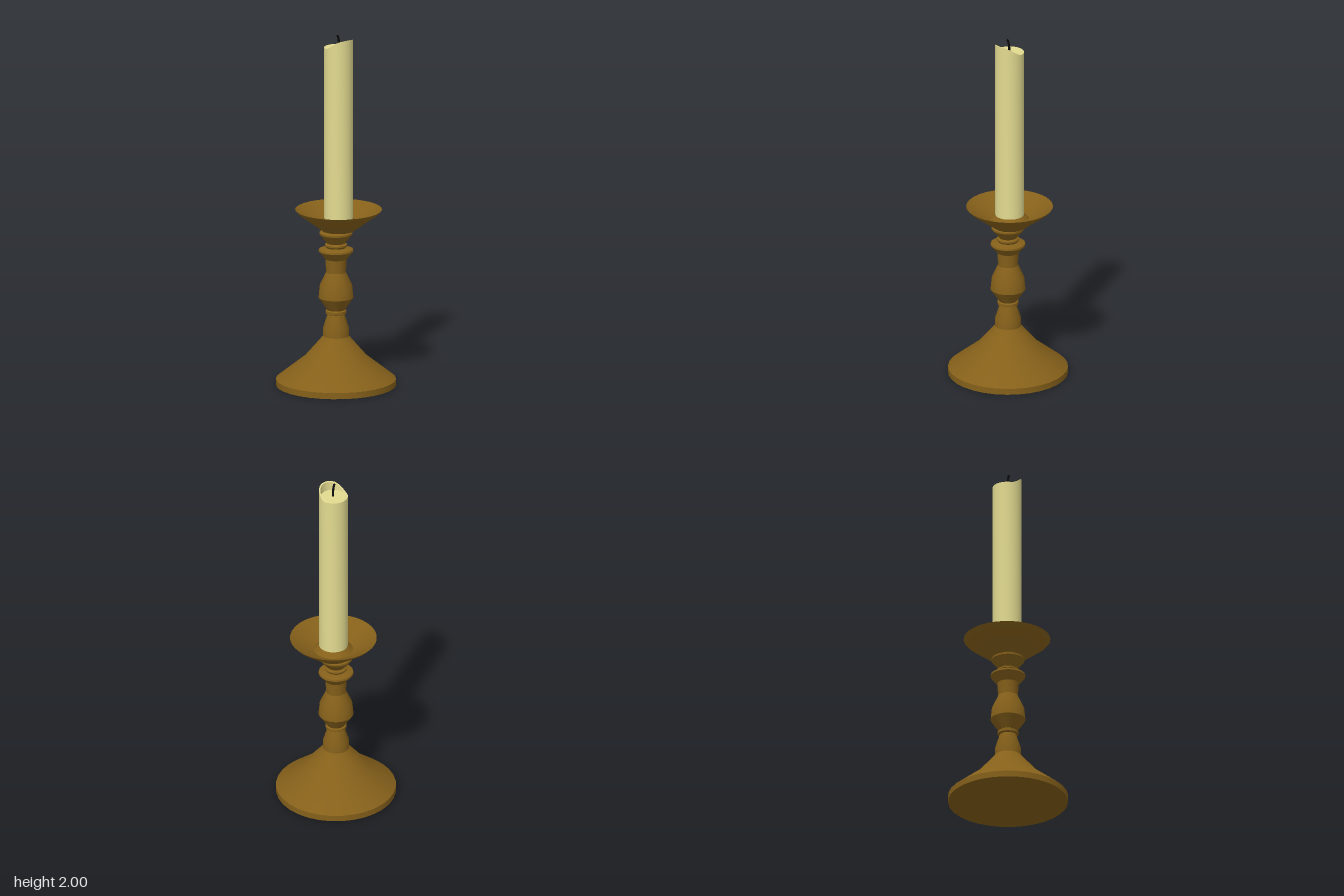
import * as THREE from 'three';
import { toCreasedNormals } from 'three/addons/utils/BufferGeometryUtils.js';

const brass = new THREE.MeshStandardMaterial({ color: 0x85601a });
const wax = new THREE.MeshStandardMaterial({ color: 0xe2da90 });
const black = new THREE.MeshStandardMaterial({ color: 0x0a0a0a });

// Turned part from [radius, height] pairs, listed from the bottom centre outwards
function turned(name, profile, material, reshape) {
  const geometry = new THREE.LatheGeometry(profile.map(([r, y]) => new THREE.Vector2(r, y)), 32);
  if (reshape) reshape(geometry.attributes.position);
  const mesh = new THREE.Mesh(toCreasedNormals(geometry, 0.5), material);
  mesh.name = name;
  return mesh;
}

export function createModel() {
  const model = new THREE.Group();
  model.name = 'candlestick';

  // Flared foot
  model.add(turned('base', [
    [0, 0], [0.333, 0], [0.333, 0.035], [0.175, 0.16], [0.072, 0.28], [0, 0.28],
  ], brass));

  // Baluster stem with rings and knops
  model.add(turned('stem', [
    [0, 0.27], [0.072, 0.27], [0.072, 0.325], [0.047, 0.405], [0.058, 0.41], [0.058, 0.425],
    [0.05, 0.43], [0.097, 0.5], [0.09, 0.57], [0.055, 0.645], [0.06, 0.72], [0.097, 0.765],
    [0.095, 0.775], [0.055, 0.785], [0.062, 0.795], [0.062, 0.803], [0.05, 0.81],
    [0.092, 0.862], [0.092, 0.872], [0.075, 0.88], [0.085, 0.9], [0, 0.9],
  ], brass));

  // Dish and candle sit slightly off the stem's axis
  const top = new THREE.Group();
  top.name = 'top';
  top.position.set(0.016, 0, 0.003);
  model.add(top);

  // Drip dish with a raised collar in the middle
  top.add(turned('dripDish', [
    [0, 0.88], [0.088, 0.88], [0.225, 0.982], [0.241, 1.0],
    [0.145, 0.942], [0.108, 0.926], [0.08, 0.952], [0, 0.952],
  ], brass));

  // Candle: the lip rows rise towards the front as an unmelted edge
  const floor = 1.925, lip = 1.95;
  top.add(turned('candle', [
    [0, 0.93], [0.08, 0.93], [0.08, lip], [0.072, lip], [0.07, floor], [0, floor],
  ], wax, (position) => {
    for (let i = 0; i < position.count; i++) {
      if (Math.abs(position.getY(i) - lip) > 0.001) continue;
      const rise = THREE.MathUtils.smoothstep(position.getZ(i), -0.02, 0.085);
      position.setY(i, floor + 0.002 + 0.053 * rise);
    }
  }));

  // Bent wick
  const path = new THREE.CatmullRomCurve3([
    new THREE.Vector3(0, 1.92, 0.003), new THREE.Vector3(0, 1.955, 0.003),
    new THREE.Vector3(-0.004, 1.98, 0.004), new THREE.Vector3(-0.011, 1.998, 0.005),
  ]);
  const wick = new THREE.Mesh(new THREE.TubeGeometry(path, 8, 0.006, 8), black);
  wick.name = 'wick';
  top.add(wick);
  const tip = new THREE.Mesh(new THREE.SphereGeometry(0.006, 8, 6), black);
  tip.name = 'wickTip';
  tip.position.set(-0.011, 1.995, 0.005);
  top.add(tip);

  return model;
}
